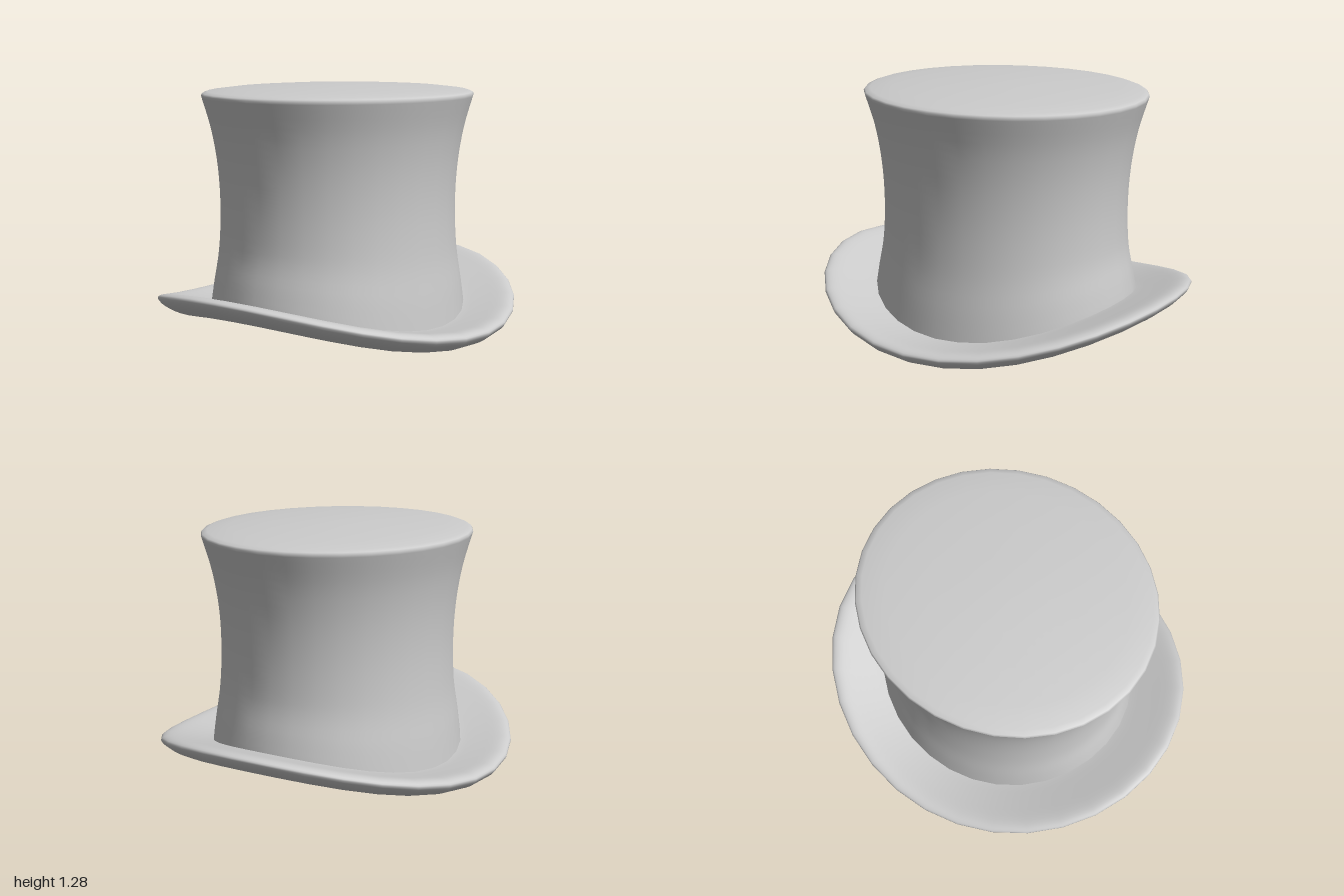
import * as THREE from 'three';
import { mergeVertices } from 'three/addons/utils/BufferGeometryUtils.js';

const SIDES = 32;
const DEPTH = 0.905; // the hat is oval: narrower front to back
const SWEEP = 0.21; // how far the brim curls up at the sides
const v = (pts) => pts.map(([r, y]) => new THREE.Vector2(r, y));

// Revolve a profile, curl it up at the sides (fading out with height), then flatten it to an oval
function ovalLathe(profile, fade) {
  let geo = new THREE.LatheGeometry(profile, SIDES);
  geo.deleteAttribute('uv');
  geo.deleteAttribute('normal');
  const p = geo.attributes.position;
  for (let i = 0; i < p.count; i++) {
    const x = p.getX(i), y = p.getY(i), z = p.getZ(i);
    const r = Math.hypot(x, z);
    const lift = r > 1e-4 ? (SWEEP * x * x) / r : 0;
    p.setXYZ(i, x, y + lift * fade(y), z * DEPTH);
  }
  geo = mergeVertices(geo, 1e-4);
  geo.computeVertexNormals();
  return geo;
}

export function createModel() {
  const hat = new THREE.Group();
  hat.name = 'topHat';
  const felt = new THREE.MeshStandardMaterial({ color: 0xcccccc });
  const add = (name, geo) => {
    const mesh = new THREE.Mesh(geo, felt);
    mesh.name = name;
    hat.add(mesh);
  };

  // Brim: closed underside, rounded rim and upper surface running in under the crown
  const rim = new THREE.SplineCurve(v([
    [0.8, 0.002], [0.88, 0.012], [0.96, 0.045], [0.998, 0.083],
    [0.98, 0.104], [0.93, 0.11], [0.83, 0.098], [0.72, 0.085], [0.66, 0.085],
  ])).getPoints(24);
  add('brim', ovalLathe([new THREE.Vector2(0, 0.086), ...rim], () => 1));

  // Crown: waisted wall, narrow rounded edge and gently domed top
  const wall = new THREE.SplineCurve(v([
    [0.712, 0.06], [0.692, 0.22], [0.664, 0.42], [0.653, 0.65],
    [0.664, 0.86], [0.696, 1.05], [0.745, 1.215],
  ])).getPoints(24);
  const lid = v([[0.749, 1.228], [0.742, 1.238], [0.715, 1.247], [0.6, 1.26], [0.4, 1.271], [0.2, 1.278], [0, 1.281]]);
  add('crown', ovalLathe([...wall, ...lid], (y) => THREE.MathUtils.clamp((0.5 - y) / 0.42, 0, 1)));

  return hat;
}
